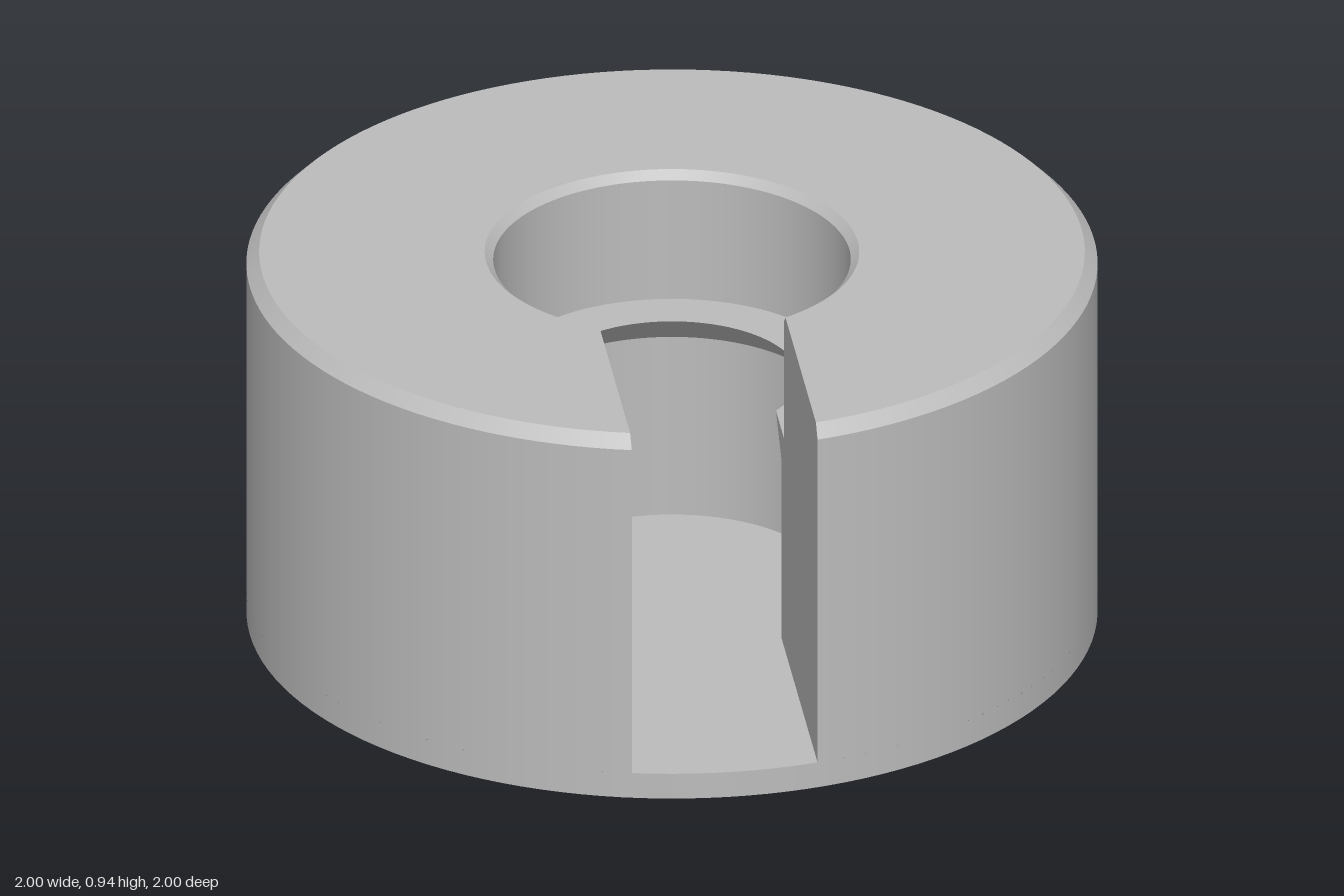
import * as THREE from 'three';
import { mergeGeometries } from 'three/addons/utils/BufferGeometryUtils.js';

const SLOT = 0.22;      // half width of the slot
const FLOOR = 0.065;    // height of the slot floor
const POCKET = 0.38;    // radius of the lower pocket
const SEGMENTS = 128;

// Sweep a profile of [radius, y] about the y axis, leaving a parallel gap of
// half width `gap` at the front. Each band keeps its own normals, so edges stay sharp.
function sweep(profile, gap = 0, segments = SEGMENTS) {
  const bands = [];
  for (let k = 0; k < profile.length - 1; k++) {
    const positions = [], normals = [], index = [];
    const [[r0, y0], [r1, y1]] = [profile[k], profile[k + 1]];
    const length = Math.hypot(r1 - r0, y1 - y0);
    const nr = (y0 - y1) / length, ny = (r1 - r0) / length;
    for (let i = 0; i <= segments; i++) {
      for (const [r, y] of [profile[k], profile[k + 1]]) {
        const start = gap ? Math.asin(gap / r) : 0;
        const a = start + (2 * Math.PI - 2 * start) * i / segments;
        positions.push(r * Math.sin(a), y, r * Math.cos(a));
        normals.push(nr * Math.sin(a), ny, nr * Math.cos(a));
      }
      if (i < segments) {
        const p = 2 * i;
        index.push(p, p + 1, p + 2, p + 1, p + 3, p + 2);
      }
    }
    const g = new THREE.BufferGeometry();
    g.setAttribute('position', new THREE.Float32BufferAttribute(positions, 3));
    g.setAttribute('normal', new THREE.Float32BufferAttribute(normals, 3));
    g.setIndex(index);
    bands.push(g);
  }
  return mergeGeometries(bands);
}

export function createModel() {
  const group = new THREE.Group();
  const grey = new THREE.MeshStandardMaterial({ color: 0xbcbcbc });
  grey.name = 'plain grey';

  const add = (name, geometry, x = 0, y = 0, z = 0) => {
    const mesh = new THREE.Mesh(geometry, grey);
    mesh.name = name;
    mesh.position.set(x, y, z);
    group.add(mesh);
  };

  // Slotted ring: pocket, undercut lip, bore, chamfers and outer wall
  const profile = [
    [POCKET, FLOOR], [POCKET, 0.53], [0.3, 0.61], [0.42, 0.61], [0.42, 0.92],
    [0.44, 0.94], [0.97, 0.94], [1, 0.91], [1, FLOOR],
  ];
  add('slottedRing', sweep(profile, SLOT));

  // Flat walls on both sides of the slot
  for (const side of [1, -1]) {
    const section = new THREE.Shape(profile.map(([r, y]) =>
      new THREE.Vector2(side * Math.sqrt(r * r - SLOT * SLOT), y)));
    const wall = new THREE.ShapeGeometry(section).rotateY(-side * Math.PI / 2);
    add(side > 0 ? 'leftSlotWall' : 'rightSlotWall', wall, side * SLOT);
  }

  // Floor of the slot and pocket, drawn with the front pointing down
  const outer = Math.asin(SLOT), inner = Math.asin(SLOT / POCKET);
  const floor = new THREE.Shape();
  floor.absarc(0, 0, 1, -Math.PI / 2 - outer, -Math.PI / 2 + outer, false);
  floor.absarc(0, 0, POCKET, -Math.PI / 2 + inner, 1.5 * Math.PI - inner, false);
  floor.closePath();
  add('slotFloor', new THREE.ShapeGeometry(floor, 96).rotateX(-Math.PI / 2), 0, FLOOR);

  // Base rim and underside with four round recesses
  add('baseRim', sweep([[1, FLOOR], [1, 0]]));
  const underside = new THREE.Shape().absarc(0, 0, 1, 0, 2 * Math.PI, false);
  for (const x of [-0.552, 0.552]) {
    for (const z of [-0.552, 0.552]) {
      underside.holes.push(new THREE.Path().absarc(x, z, 0.13, 0, 2 * Math.PI, true));
      add('footRecess', sweep([[0.13, 0], [0.13, 0.06], [0, 0.06]], 0, 64), x, 0, z);
    }
  }
  add('underside', new THREE.ShapeGeometry(underside, 64).rotateX(Math.PI / 2));

  return group;
}
